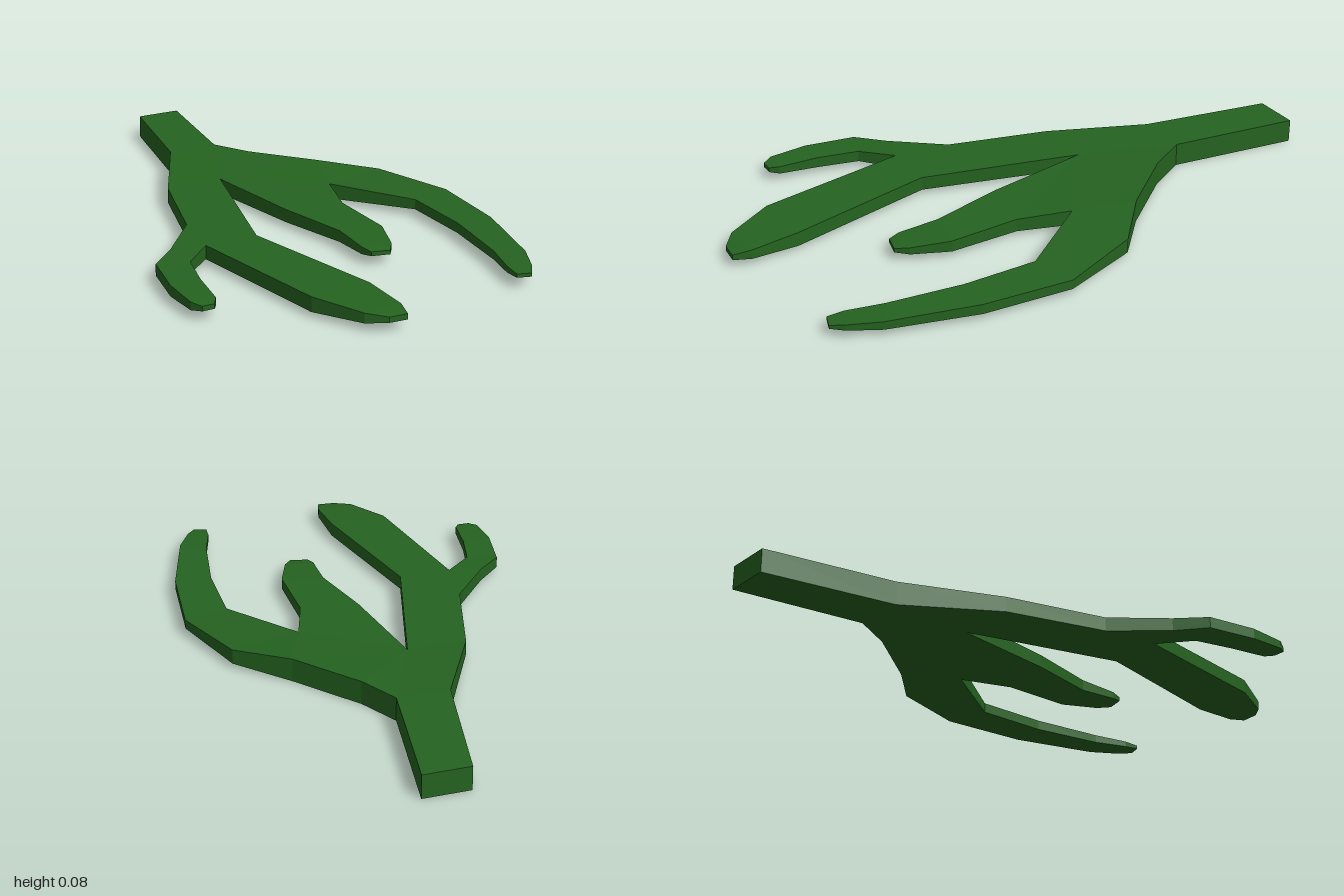
import * as THREE from 'three';

const MID = 0.04; // height of the flat branch's middle plane

// Corners shared by neighbouring limbs: [x, z, half thickness]
const neckL = [-0.07, -0.56, 0.04], neckR = [0.105, -0.56, 0.04];
const shoulderL = [-0.235, -0.25, 0.026], shoulderR = [0.34, -0.225, 0.04];
const mainCrotch = [-0.035, -0.25, 0.026], rightCrotch = [0.265, -0.025, 0.026];
const elbowL = [-0.335, 0.085, 0.024], twigCrotch = [-0.365, 0.275, 0.023];
const wristL = [-0.185, 0.275, 0.023];

// Each limb is a ladder of rungs running from the stem to the tip
const limbs = {
  stem: [
    [[0.02, -1, 0.04], [0.175, -1, 0.04]],
    [neckL, neckR],
  ],
  leftFork: [
    [neckL, neckR],
    [shoulderL, mainCrotch],
    [elbowL, wristL],
    [twigCrotch, wristL],
  ],
  longBranch: [
    [twigCrotch, wristL],
    [[-0.29, 0.79, 0.024], [-0.085, 0.78, 0.024]],
    [[-0.21, 0.95, 0.016], [-0.08, 0.94, 0.016]],
    [[-0.155, 0.995, 0.009], [-0.095, 1, 0.009]],
  ],
  sideTwig: [
    [elbowL, twigCrotch],
    [[-0.475, 0.25, 0.022], twigCrotch],
    [[-0.565, 0.33, 0.019], [-0.465, 0.365, 0.019]],
    [[-0.6, 0.5, 0.018], [-0.5, 0.5, 0.018]],
    [[-0.6, 0.63, 0.013], [-0.52, 0.635, 0.013]],
    [[-0.58, 0.665, 0.008], [-0.54, 0.665, 0.008]],
  ],
  rightFork: [
    [mainCrotch, neckR],
    [mainCrotch, [0.175, -0.43, 0.04]],
    [mainCrotch, shoulderR],
    [mainCrotch, rightCrotch],
  ],
  middleBranch: [
    [mainCrotch, rightCrotch],
    [[0.015, 0.115, 0.022], [0.21, 0.15, 0.022]],
    [[0.07, 0.36, 0.019], [0.21, 0.39, 0.019]],
    [[0.065, 0.5, 0.012], [0.165, 0.515, 0.012]],
    [[0.075, 0.54, 0.007], [0.135, 0.555, 0.007]],
  ],
  curvedBranch: [
    [rightCrotch, shoulderR],
    [rightCrotch, [0.5, -0.08, 0.025]],
    [[0.445, 0.23, 0.017], [0.595, 0.19, 0.016]],
    [[0.44, 0.48, 0.017], [0.565, 0.49, 0.017]],
    [[0.4, 0.73, 0.014], [0.485, 0.78, 0.014]],
    [[0.365, 0.85, 0.01], [0.435, 0.88, 0.01]],
    [[0.36, 0.905, 0.006], [0.405, 0.92, 0.006]],
  ],
};

// Fill the ladder with triangles, dropping those with a repeated corner
function ladderTriangles(rungs) {
  const tris = [];
  for (let i = 0; i + 1 < rungs.length; i++) {
    const [a0, b0] = rungs[i], [a1, b1] = rungs[i + 1];
    tris.push([a0, a1, b1], [a0, b1, b0]);
  }
  return tris.filter(([p, q, r]) => p !== q && q !== r && r !== p);
}

const edgeKey = (p, q) => `${p}|${q}`;
const edgesOf = ([p, q, r]) => [[p, q], [q, r], [r, p]];
const top = ([x, z, h]) => [x, MID + h, z];
const bottom = ([x, z, h]) => [x, MID - h, z];

export function createModel() {
  const model = new THREE.Group();
  model.name = 'branch';
  const material = new THREE.MeshStandardMaterial({ color: 0x256320, flatShading: true });

  const parts = Object.entries(limbs).map(([name, rungs]) => [name, ladderTriangles(rungs)]);
  const edges = new Set();
  for (const [, tris] of parts)
    for (const tri of tris)
      for (const [p, q] of edgesOf(tri)) edges.add(edgeKey(p, q));

  for (const [name, tris] of parts) {
    const verts = [];
    for (const tri of tris) {
      const [p, q, r] = tri;
      verts.push(top(p), top(q), top(r), bottom(p), bottom(r), bottom(q));
      // Side walls only where no neighbouring triangle shares the edge
      for (const [s, e] of edgesOf(tri)) {
        if (edges.has(edgeKey(e, s))) continue;
        verts.push(top(s), bottom(s), bottom(e), top(s), bottom(e), top(e));
      }
    }
    const geometry = new THREE.BufferGeometry();
    geometry.setAttribute('position', new THREE.Float32BufferAttribute(verts.flat(), 3));
    geometry.computeVertexNormals();
    const mesh = new THREE.Mesh(geometry, material);
    mesh.name = name;
    model.add(mesh);
  }
  return model;
}
